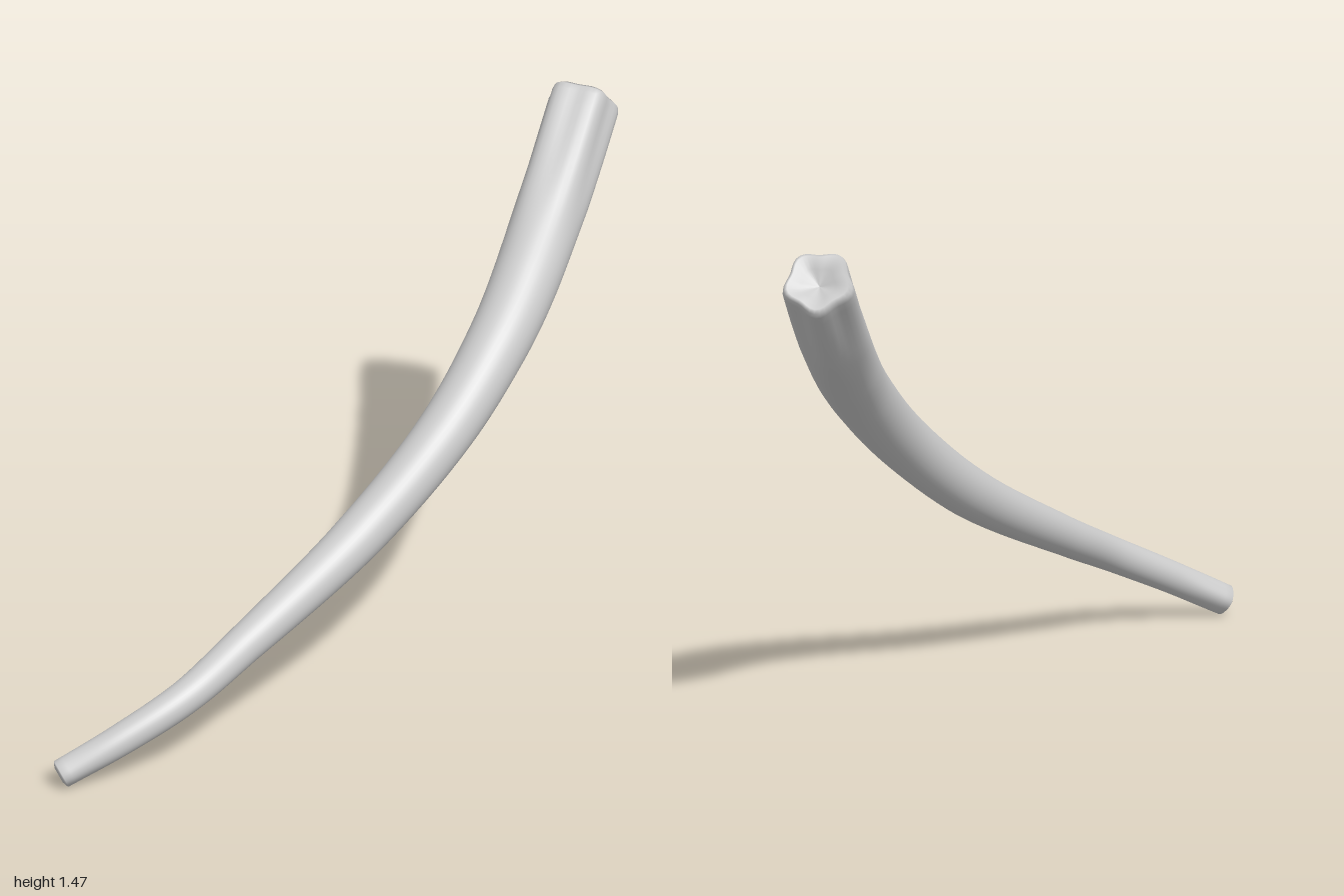
import * as THREE from 'three';

// centre line of the horn: x, y, z
const path = [
  [-0.98, 0.042, 0.597], [-0.8, 0.13, 0.597], [-0.6, 0.222, 0.562], [-0.4, 0.315, 0.465],
  [0, 0.52, 0.27], [0.3, 0.74, 0.115], [0.5, 0.92, -0.045], [0.62, 1.04, -0.18],
  [0.75, 1.19, -0.36], [0.895, 1.39, -0.56],
].map((p) => new THREE.Vector3(...p));
const radii = [0.043, 0.047, 0.051, 0.057, 0.074, 0.083, 0.092, 0.098, 0.102, 0.1];

const SIDES = 40;
const STEPS = 72;
const UP = new THREE.Vector3(0, 1, 0);

function radiusAt(u) {
  const f = u * (radii.length - 1);
  const i = Math.min(Math.floor(f), radii.length - 2);
  return THREE.MathUtils.lerp(radii[i], radii[i + 1], f - i);
}

function hornGeometry() {
  const curve = new THREE.CatmullRomCurve3(path);
  // each ring: place on the curve, scale of the section, push along the axis
  const rings = [[0, 0, -0.006], [0, 0.55, -0.008], [0, 0.85, -0.004]];
  for (let i = 0; i <= STEPS; i++) rings.push([i / STEPS, 1, 0]);
  // blunt, slightly hollow root
  rings.push([1, 0.96, 0.018], [1, 0.85, 0.026], [1, 0.5, 0.008], [1, 0, -0.012]);

  const positions = [];
  const index = [];
  for (const [u, scale, push] of rings) {
    const t = curve.getTangent(u);
    const side = new THREE.Vector3().crossVectors(t, UP).normalize();
    const over = new THREE.Vector3().crossVectors(side, t);
    const centre = curve.getPoint(u).addScaledVector(t, push);
    // five ridges grow toward the root, a faint facet shows at the tip
    const ridge = 0.085 * THREE.MathUtils.smoothstep(u, 0.8, 1);
    const facet = 0.04 * (1 - THREE.MathUtils.smoothstep(u, 0, 0.12));
    for (let j = 0; j < SIDES; j++) {
      const a = (j / SIDES) * Math.PI * 2;
      const lobes = ridge * Math.cos(5 * (a - 0.89)) + facet * Math.cos(4 * a);
      const r = radiusAt(u) * scale * (1 + lobes);
      const p = centre.clone()
        .addScaledVector(side, r * Math.cos(a))
        .addScaledVector(over, r * Math.sin(a));
      positions.push(p.x, p.y, p.z);
    }
  }
  for (let i = 0; i < rings.length - 1; i++) {
    for (let j = 0; j < SIDES; j++) {
      const k = (j + 1) % SIDES;
      const a = i * SIDES + j, b = i * SIDES + k;
      const c = a + SIDES, d = b + SIDES;
      if (i > 0) index.push(a, c, b);
      if (i < rings.length - 2) index.push(b, c, d);
      if (i === 0) continue;
    }
  }
  const geometry = new THREE.BufferGeometry();
  geometry.setAttribute('position', new THREE.Float32BufferAttribute(positions, 3));
  geometry.setIndex(index);
  geometry.computeVertexNormals();
  return geometry;
}

export function createModel() {
  const group = new THREE.Group();
  group.name = 'curvedHorn';
  const horn = new THREE.Mesh(hornGeometry(), new THREE.MeshStandardMaterial({ color: 0xcccccc }));
  horn.name = 'horn';
  group.add(horn);
  return group;
}
